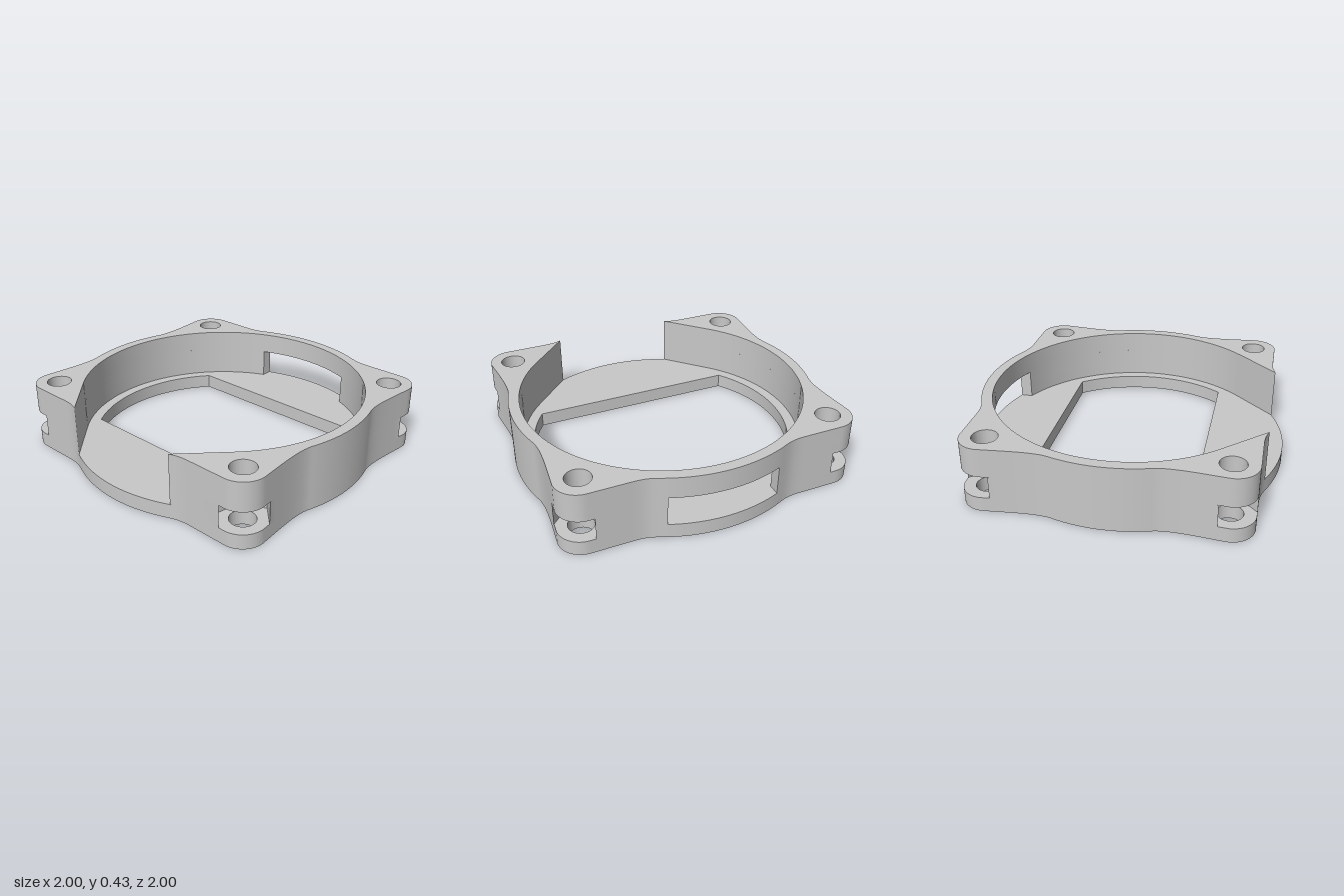
import * as THREE from 'three';
import { toCreasedNormals } from 'three/addons/utils/BufferGeometryUtils.js';

const FLOOR = 0.095, SLOT_TOP = 0.24, WINDOW_TOP = 0.288, TOP = 0.428;
const INNER = 0.93, OPENING = 0.86, WINDOW = 0.36;
const BOLT = { x: 0.815, z: 0.73, r: 0.08 };

const P = (x, z) => new THREE.Vector2(x, z);
const mirrorX = pts => pts.map(p => P(-p.x, p.y)).reverse();
const arc = (r, a, b, n) => Array.from({ length: n + 1 }, (_, i) => {
  const t = a + (b - a) * i / n;
  return P(r * Math.cos(t), r * Math.sin(t));
});

// one quarter of the outer outline, from the side (1, 0) to the front (0, 1)
function quarterOutline() {
  const path = new THREE.Path();
  const a = Math.asin(0.3), b = Math.acos(0.38);
  path.moveTo(1, 0);
  path.absarc(0, 0, 1, 0, a);
  path.bezierCurveTo(0.924, 0.396, 0.955, 0.6, 0.965, 0.735);
  path.absarc(0.815, 0.735, 0.15, 0, Math.PI / 2);
  path.lineTo(0.56, 0.885);
  path.bezierCurveTo(0.47, 0.885, 0.44, 0.9, 0.38, 0.925);
  path.absarc(0, 0, 1, b, Math.PI / 2);
  return path.getPoints(16);
}

// the same quarter with a hexagonal nut slot cut in diagonally at the corner
function slottedOutline() {
  const inside = p => {
    const dx = p.x - BOLT.x, dz = p.y - BOLT.z;
    const across = (dz - dx) * Math.SQRT1_2;
    return across > -0.146 && across < 0.138 && dx + dz > 0;
  };
  const pts = quarterOutline();
  const first = pts.findIndex(inside);
  const slot = [P(0.962, 0.674), P(0.852, 0.563), P(0.705, 0.62), P(0.675, 0.782), P(0.778, 0.885)];
  return [...pts.slice(0, first), ...slot, ...pts.slice(first).filter(p => !inside(p))];
}

// outer edge on the +x side, from back to front
const halfOutline = q => [...q.map(p => P(p.x, -p.y)).reverse(), ...q.slice(1)];

// plan of the +x half of the wall, starting at x = start on the back;
// its front end runs tangent from the bore to the outer edge
function halfWall(quarter, start) {
  const end = P(0.419, 0.908);
  const tangent = end.angle() - Math.acos(INNER / end.length());
  const outer = halfOutline(quarter).filter(p => p.y < 0 ? p.x > start + 0.001 : p.x > end.x + 0.005);
  outer.unshift(P(start, -Math.sqrt(1 - start * start)));
  outer.push(end);
  const inner = arc(INNER, tangent, -Math.acos(start / INNER), 48);
  return { outer, inner };
}

const boltHole = (sx, sz) => {
  const h = new THREE.Path();
  h.absarc(sx * BOLT.x, -sz * BOLT.z, BOLT.r, 0, Math.PI * 2, true);
  return h;
};

export function createModel() {
  const grey = new THREE.MeshStandardMaterial({ color: 0xc8c8c8 });
  grey.name = 'grey';
  const model = new THREE.Group();
  model.name = 'mountingFrame';

  // extrude a plan (x, z) upward from y0 to y1; the contour is turned
  // counter-clockwise so that the hole walls face into the holes
  function slab(name, plan, holes, y0, y1) {
    const shape = new THREE.Shape(plan.map(p => P(p.x, -p.y)).reverse());
    shape.holes = holes;
    const geo = new THREE.ExtrudeGeometry(shape, { depth: y1 - y0, bevelEnabled: false, curveSegments: 40 });
    geo.rotateX(-Math.PI / 2);
    geo.translate(0, y0, 0);
    const mesh = new THREE.Mesh(toCreasedNormals(geo, 0.5), grey);
    mesh.name = name;
    model.add(mesh);
  }

  const quarter = quarterOutline();
  const allBolts = [[1, 1], [1, -1], [-1, 1], [-1, -1]].map(([x, z]) => boltHole(x, z));

  // floor plate with a round opening cut straight at front and back
  const side = arc(OPENING, Math.asin(-0.55 / OPENING), Math.asin(0.5 / OPENING), 32);
  const opening = new THREE.Path([...side, ...mirrorX(side)].map(p => P(p.x, -p.y)));
  const right = halfOutline(quarter);
  slab('floorPlate', [...right, ...mirrorX(right).slice(1, -1)], [opening, ...allBolts], 0, FLOOR);

  // lower and middle wall, split by the back window and the front gap
  const low = halfWall(slottedOutline(), WINDOW);
  const mid = halfWall(quarter, WINDOW);
  for (const s of [1, -1]) {
    const label = s > 0 ? 'left' : 'right';
    const place = w => {
      const pts = [...w.outer, ...w.inner];
      return s > 0 ? pts : mirrorX(pts);
    };
    slab(label + 'SlottedWall', place(low), [], FLOOR, SLOT_TOP);
    slab(label + 'MiddleWall', place(mid), [boltHole(s, 1), boltHole(s, -1)], SLOT_TOP, WINDOW_TOP);
  }

  // upper wall, continuous over the back window
  const up = halfWall(quarter, 0);
  const upper = [...up.outer, ...up.inner, ...mirrorX(up.inner).slice(1), ...mirrorX(up.outer).slice(0, -1)];
  slab('upperWall', upper, allBolts, WINDOW_TOP, TOP);

  return model;
}
